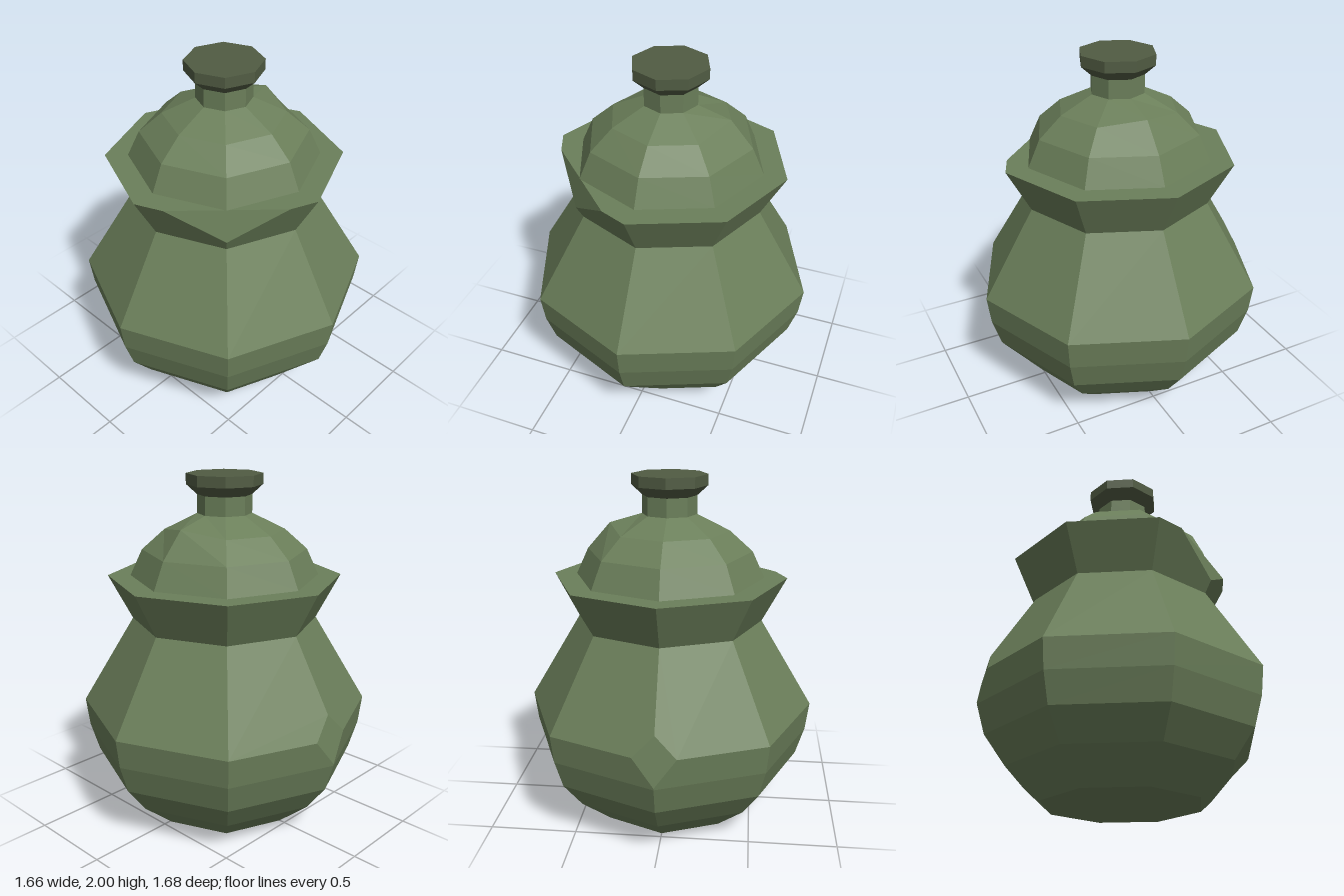
import * as THREE from 'three';

const SIDES = 8;
const v = (x, y, z) => new THREE.Vector3(x, y, z);

// Flat polygons of an eight-sided turned form, bottom to top
function turnedFaces(profile) {
  const rings = profile.map(([r, y]) =>
    Array.from({ length: SIDES }, (_, i) => {
      const a = (i / SIDES) * Math.PI * 2;
      return v(r * Math.sin(a), y, r * Math.cos(a));
    }));
  const faces = [rings[0].slice().reverse()];
  for (let j = 0; j + 1 < rings.length; j++) {
    for (let i = 0; i < SIDES; i++) {
      const k = (i + 1) % SIDES;
      faces.push([rings[j][i], rings[j][k], rings[j + 1][k], rings[j + 1][i]]);
    }
  }
  return faces;
}

// Break off a corner with a plane through three points, and fill the break
function chip(faces, corner, points, isNear) {
  const plane = new THREE.Plane().setFromCoplanarPoints(...points);
  if (plane.distanceToPoint(corner) < 0) plane.negate();
  const cut = [];
  const out = [];
  for (const f of faces) {
    const c = f.reduce((s, p) => s.add(p), v(0, 0, 0)).divideScalar(f.length);
    if (!isNear(c)) { out.push(f); continue; }
    const kept = [];
    f.forEach((p, i) => {
      const q = f[(i + 1) % f.length];
      const dp = plane.distanceToPoint(p), dq = plane.distanceToPoint(q);
      if (dp <= 0) kept.push(p);
      if ((dp <= 0) !== (dq <= 0)) {
        const m = p.clone().lerp(q, dp / (dp - dq));
        kept.push(m);
        if (!cut.some((o) => o.distanceTo(m) < 1e-4)) cut.push(m);
      }
    });
    if (kept.length > 2) out.push(kept);
  }
  if (cut.length > 2) {
    // Sort the cut points counter-clockwise around the break
    const mid = cut.reduce((s, p) => s.add(p), v(0, 0, 0)).divideScalar(cut.length);
    const u = cut[0].clone().sub(mid).normalize();
    const w = plane.normal.clone().cross(u);
    const angle = (p) => {
      const d = p.clone().sub(mid);
      return Math.atan2(d.dot(w), d.dot(u));
    };
    out.push(cut.sort((a, b) => angle(a) - angle(b)));
  }
  return out;
}

function facesToGeometry(faces) {
  const pts = [];
  for (const f of faces) {
    for (let i = 1; i + 1 < f.length; i++) pts.push(f[0], f[i], f[i + 1]);
  }
  const g = new THREE.BufferGeometry().setFromPoints(pts);
  g.computeVertexNormals();
  return g;
}

function turned(profile) {
  const g = new THREE.LatheGeometry(profile.map((p) => new THREE.Vector2(...p)), SIDES);
  return g;
}

export function createModel() {
  const model = new THREE.Group();
  model.name = 'liddedJar';
  const clay = new THREE.MeshStandardMaterial({ name: 'mossGreen', color: 0x6b7f5a, flatShading: true });
  const dark = new THREE.MeshStandardMaterial({ name: 'darkMossGreen', color: 0x515c43, flatShading: true });
  const add = (name, geometry, material) => {
    const mesh = new THREE.Mesh(geometry, material);
    mesh.name = name;
    mesh.position.x = -0.01;
    model.add(mesh);
  };

  // Jar body with belly, waist and flared rim
  let body = turnedFaces([
    [0.455, 0], [0.65, 0.17], [0.77, 0.33], [0.82, 0.495], [0.84, 0.66],
    [0.535, 1.17], [0.67, 1.425], [0.53, 1.425],
  ]);
  // Chip in the rim, front left
  body = chip(body, v(0.474, 1.425, 0.474),
    [v(0.15, 1.425, 0.608), v(0.608, 1.425, 0.15), v(0.406, 1.245, 0.406)],
    (c) => c.y > 1.2 && c.x > 0 && c.z > 0);
  // Worn belly corner on the right
  body = chip(body, v(-0.84, 0.66, 0),
    [v(-0.768, 0.78, 0), v(-0.822, 0.5, 0), v(-0.768, 0.78, 1)],
    (c) => c.x < -0.3 && c.y > 0.5 && c.y < 1.17);
  // Notch low on the left: an upper and a lower facet
  const a = v(0.584, 0.17, 0.16), b = v(0.584, 0.17, -0.16), corner = v(0.65, 0.17, 0);
  body = chip(body, corner, [a, b, v(0.755, 0.31, 0)],
    (c) => c.x > 0.3 && c.y > 0.17 && c.y < 0.33);
  body = chip(body, corner, [a, b, v(0.514, 0.05, 0)],
    (c) => c.x > 0.2 && c.y > 0.01 && c.y < 0.17);
  add('body', facesToGeometry(body), clay);

  // Domed lid and neck, with a small bump at the back
  const lid = turned([
    [0.54, 1.425], [0.47, 1.575], [0.34, 1.69], [0.155, 1.78], [0.155, 1.885],
  ]);
  const p = lid.attributes.position;
  for (let i = 0; i < p.count; i++) {
    if (Math.abs(p.getY(i) - 1.69) < 1e-3 && p.getZ(i) < -0.3) p.setY(i, 1.725);
  }
  add('lid', lid, clay);

  // Knob on top
  add('knob', turned([[0.155, 1.885], [0.215, 1.94], [0.215, 2], [0, 2]]), dark);
  return model;
}
